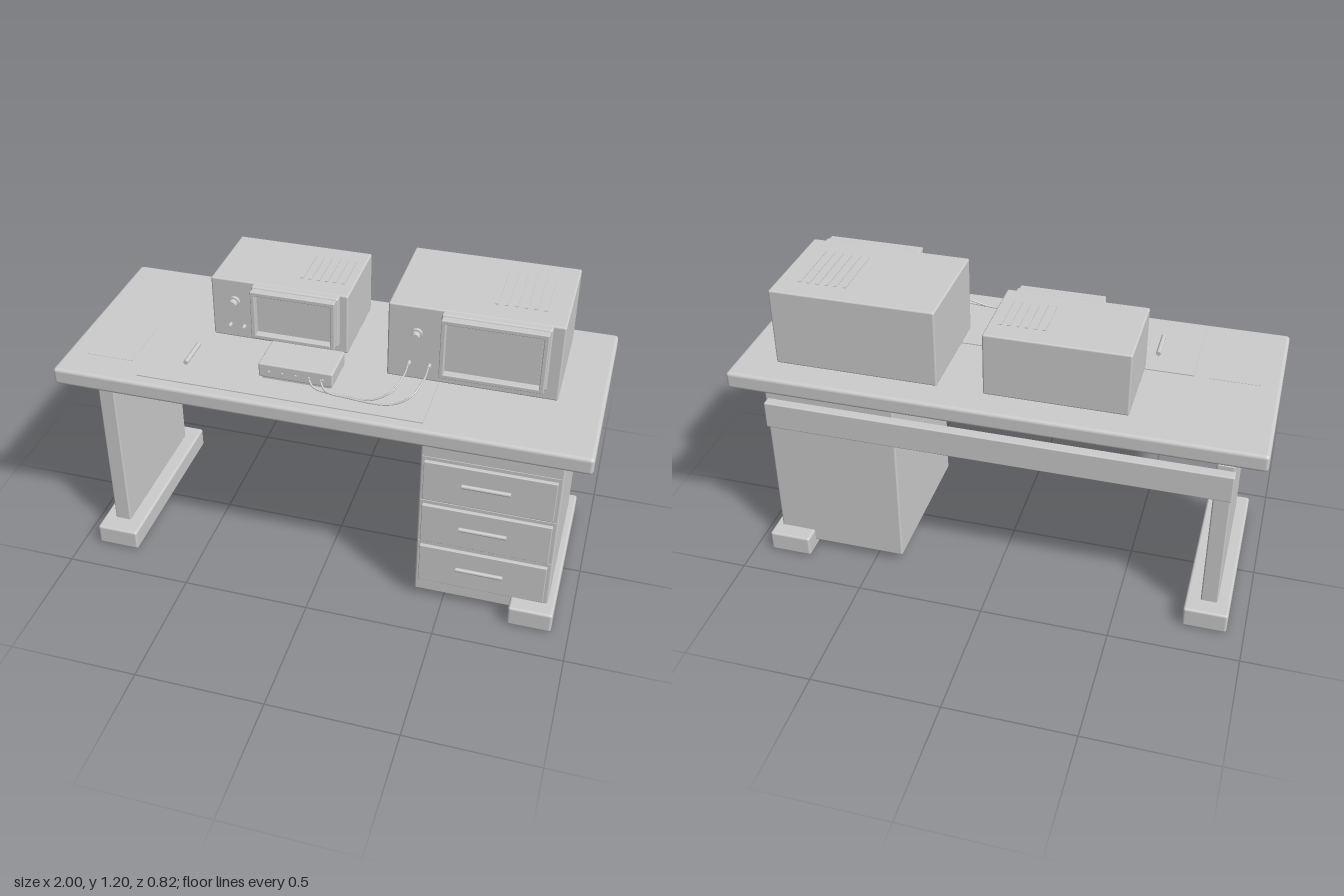
import * as THREE from 'three';
import { RoundedBoxGeometry } from 'three/addons/geometries/RoundedBoxGeometry.js';

const grey = new THREE.MeshStandardMaterial({ color: 0xcccccc });
grey.name = 'light grey';

export function createModel() {
  const model = new THREE.Group();
  model.name = 'workbench';

  const add = (parent, name, geometry) => {
    const mesh = new THREE.Mesh(geometry, grey);
    mesh.name = name;
    parent.add(mesh);
    return mesh;
  };
  // Box from its limits; a radius rounds its edges
  const box = (parent, name, [x0, x1], [y0, y1], [z0, z1], radius = 0) => {
    const size = [x1 - x0, y1 - y0, z1 - z0];
    const geometry = radius
      ? new RoundedBoxGeometry(...size, 3, radius)
      : new THREE.BoxGeometry(...size);
    const mesh = add(parent, name, geometry);
    mesh.position.set((x0 + x1) / 2, (y0 + y1) / 2, (z0 + z1) / 2);
    return mesh;
  };
  // Cylinder lying along the given axis
  const rod = (parent, name, axis, radius, length, x, y, z) => {
    const geometry = new THREE.CylinderGeometry(radius, radius, length, 24);
    if (axis === 'x') geometry.rotateZ(Math.PI / 2);
    if (axis === 'z') geometry.rotateX(Math.PI / 2);
    const mesh = add(parent, name, geometry);
    mesh.position.set(x, y, z);
    return mesh;
  };

  // Desk frame
  box(model, 'tabletop', [-1, 1], [0.807, 0.875], [-0.41, 0.41], 0.014);
  box(model, 'leftLegPanel', [-0.885, -0.82], [0.07, 0.735], [-0.305, 0.298], 0.006);
  box(model, 'backRail', [-0.89, 0.895], [0.605, 0.715], [-0.345, -0.303], 0.005);
  for (const x of [-0.848, 0.848]) {
    box(model, 'foot', [x - 0.085, x + 0.085], [0, 0.086], [-0.372, 0.372], 0.01);
  }

  // Drawer pedestal
  const pedestal = new THREE.Group();
  pedestal.name = 'drawerPedestal';
  model.add(pedestal);
  box(pedestal, 'cabinet', [0.386, 0.905], [0.033, 0.782], [-0.308, 0.309], 0.008);
  for (const y of [0.594, 0.391, 0.191]) {
    box(pedestal, 'drawerFront', [0.403, 0.887], [y - 0.087, y + 0.087], [0.314, 0.33], 0.003);
    box(pedestal, 'drawerTrim', [0.393, 0.898], [y + 0.094, y + 0.098], [0.305, 0.312]);
    rod(pedestal, 'drawerHandle', 'x', 0.008, 0.177, 0.642, y + 0.04, 0.374);
  }

  // Bench instrument with a framed screen, knob, sockets and vents
  const instrument = (name, p) => {
    const group = new THREE.Group();
    group.name = name;
    model.add(group);
    box(group, 'housing', p.x, [0.887, p.top], p.z, 0.007);
    const front = p.z[1];
    const [sx0, sx1] = p.screenX, [sy0, sy1] = p.screenY;
    box(group, 'screenBacking', [sx0, sx1], [sy0, sy1], [front - 0.01, front + 0.026], 0.008);
    const z = [front + 0.024, front + 0.055], t = 0.016, i = 0.006;
    const fx = [sx0 + i, sx1 - i], fy = [sy0 + i, sy1 - i];
    box(group, 'screenFrameTop', fx, [fy[1] - t, fy[1]], z, 0.003);
    box(group, 'screenFrameBottom', fx, [fy[0], fy[0] + t], z, 0.003);
    box(group, 'screenFrameSide', [fx[0], fx[0] + t], fy, z, 0.003);
    box(group, 'screenFrameSide', [fx[1] - t, fx[1]], fy, z, 0.003);
    box(group, 'screen', [fx[0] + t + 0.006, fx[1] - t - 0.006],
      [fy[0] + t + 0.006, fy[1] - t - 0.006], [front + 0.02, front + 0.034]);
    rod(group, 'knobRing', 'z', 0.022, 0.015, p.knob[0], p.knob[1], front + 0.006);
    rod(group, 'knob', 'z', 0.016, 0.036, p.knob[0], p.knob[1], front + 0.018);
    for (const x of p.sockets) rod(group, 'socket', 'z', 0.007, 0.025, x, p.socketY, front + 0.011);
    for (let k = 0; k < 6; k++) {
      const x = p.ventX + k * p.ventStep;
      box(group, 'ventSlat', [x - 0.006, x + 0.006], [p.top - 0.004, p.top + 0.003], p.ventZ);
    }
    for (const x of p.feetX) for (const fz of p.feetZ) {
      rod(group, 'rubberFoot', 'y', 0.016, 0.016, x, 0.882, fz);
    }
  };
  instrument('smallInstrument', {
    x: [-0.5, 0.033], top: 1.135, z: [-0.313, 0.028],
    screenX: [-0.334, 0.002], screenY: [0.923, 1.133],
    knob: [-0.41, 1.045], sockets: [-0.43, -0.375], socketY: 0.942,
    ventX: -0.17, ventStep: 0.032, ventZ: [-0.23, -0.055],
    feetX: [-0.42, -0.045], feetZ: [-0.24, -0.04],
  });
  instrument('largeInstrument', {
    x: [0.207, 0.834], top: 1.192, z: [-0.31, 0.119],
    screenX: [0.403, 0.79], screenY: [0.938, 1.19],
    knob: [0.313, 1.083], sockets: [0.29, 0.365], socketY: 0.957,
    ventX: 0.575, ventStep: 0.035, ventZ: [-0.222, 0.027],
    feetX: [0.3, 0.74], feetZ: [-0.23, 0.035],
  });

  // Small connection box with a row of ports
  const hub = new THREE.Group();
  hub.name = 'connectionBox';
  model.add(hub);
  box(hub, 'boxBase', [-0.23, 0.032], [0.878, 0.89], [0.125, 0.255]);
  box(hub, 'boxBody', [-0.24, 0.042], [0.888, 0.945], [0.1, 0.262], 0.006);
  for (let k = 0; k < 5; k++) rod(hub, 'port', 'z', 0.005, 0.012, -0.2 + k * 0.051, 0.915, 0.263);

  // Cables from the box to the large instrument
  [[0.29, -0.05, 0], [0.365, -0.005, 0.008]].forEach(([x, start, dz]) => {
    const path = new THREE.CatmullRomCurve3([
      [start, 0.914, 0.262], [start + 0.03, 0.892, 0.285 + dz], [0.1, 0.886, 0.293 + dz],
      [x - 0.1, 0.889, 0.298 + dz], [x - 0.03, 0.92, 0.275 + dz],
      [x, 0.953, 0.215], [x, 0.957, 0.14],
    ].map((p) => new THREE.Vector3(...p)));
    add(model, 'cable', new THREE.TubeGeometry(path, 48, 0.0035, 8));
  });

  // Items on the desktop
  box(model, 'deskMat', [-0.68, 0.4], [0.873, 0.879], [0.02, 0.365]);
  box(model, 'paper', [-0.925, -0.735], [0.873, 0.876], [0.02, 0.28]);
  rod(model, 'pen', 'z', 0.009, 0.132, -0.53, 0.888, 0.187);

  return model;
}
